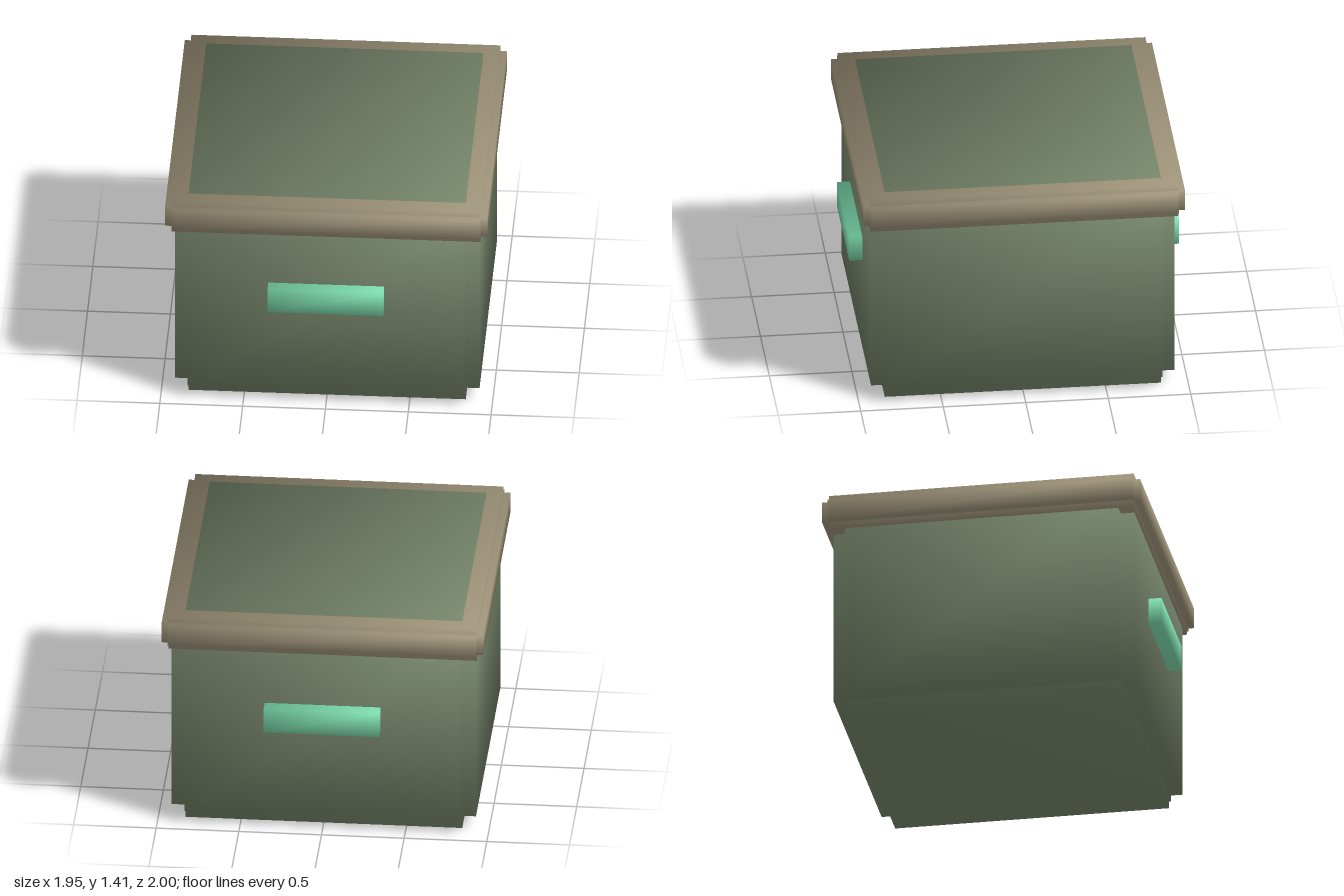
import * as THREE from 'three';

// Box whose normals point out through its corners, for soft pillow shading
function softBox(w, h, d) {
  const geo = new THREE.BoxGeometry(w, h, d);
  const pos = geo.attributes.position;
  const n = new THREE.Vector3();
  for (let i = 0; i < pos.count; i++) {
    n.set(Math.sign(pos.getX(i)), Math.sign(pos.getY(i)), Math.sign(pos.getZ(i))).normalize();
    geo.attributes.normal.setXYZ(i, n.x, n.y, n.z);
  }
  return geo;
}

// Block with stepped edges: three crossing boxes, each full size along one axis
function steppedBlock(name, [w, h, d], y, step, material) {
  const group = new THREE.Group();
  group.name = name;
  const s = step * 2;
  const sizes = {
    Sides: [w, h - s, d - s],
    TopAndBottom: [w - s, h, d - s],
    FrontAndBack: [w - s, h - s, d],
  };
  for (const [part, size] of Object.entries(sizes)) {
    const mesh = new THREE.Mesh(softBox(...size), material);
    mesh.name = name + part;
    group.add(mesh);
  }
  group.position.y = y;
  return group;
}

export function createModel() {
  const model = new THREE.Group();
  model.name = 'storageBox';

  const green = new THREE.MeshStandardMaterial({ color: 0x76856a });
  green.name = 'sage green';
  const tan = new THREE.MeshStandardMaterial({ color: 0xa0957b });
  tan.name = 'tan';
  const mint = new THREE.MeshStandardMaterial({ color: 0x7ddcae });
  mint.name = 'mint';

  // Body, rising just through the lid to form its green top panel
  model.add(steppedBlock('body', [1.84, 1.408, 1.84], 0.704, 0.083, green));

  // Lid rim
  model.add(steppedBlock('lid', [1.945, 0.215, 1.945], 1.2975, 0.04, tan));

  // One bar through the body makes the front and back handles
  const handles = new THREE.Mesh(softBox(0.7, 0.16, 2), mint);
  handles.name = 'handles';
  handles.position.y = 0.76;
  model.add(handles);

  return model;
}
